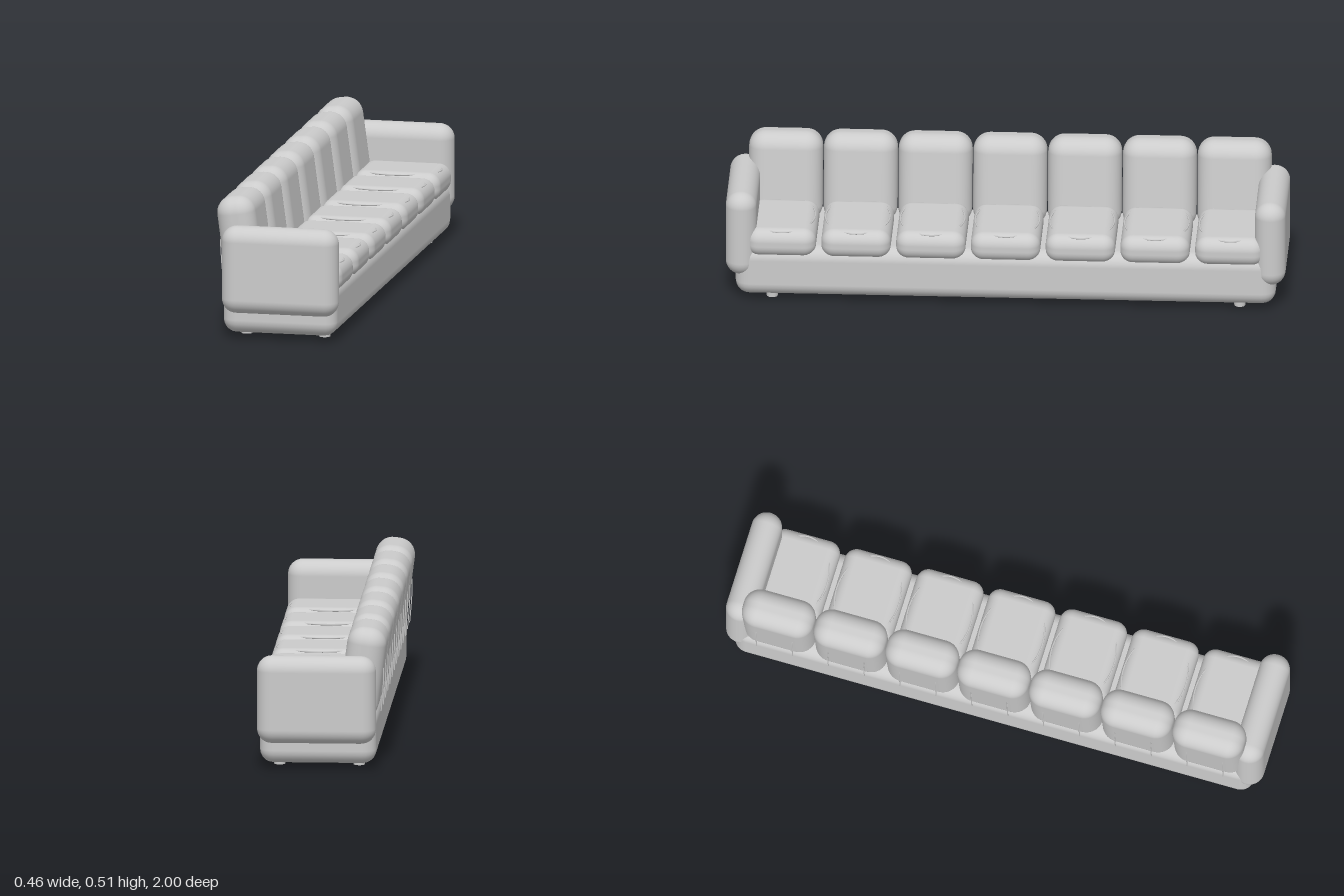
import * as THREE from 'three';
import { RoundedBoxGeometry } from 'three/addons/geometries/RoundedBoxGeometry.js';

const material = new THREE.MeshStandardMaterial({ color: 0xcccccc });

function add(parent, name, geometry, x, y, z) {
  const mesh = new THREE.Mesh(geometry, material);
  mesh.name = name;
  mesh.position.set(x, y, z);
  parent.add(mesh);
  return mesh;
}

export function createModel() {
  const sofa = new THREE.Group();
  sofa.name = 'sofa';

  // Upholstered base; the seat faces +x and its length runs along z
  add(sofa, 'base', new RoundedBoxGeometry(0.416, 0.19, 1.93, 3, 0.05), 0.011, 0.115, 0);

  // Arms and feet, mirrored at both ends
  const armGeometry = new RoundedBoxGeometry(0.425, 0.317, 0.11, 5, 0.054);
  const footGeometry = new THREE.CylinderGeometry(0.021, 0.02, 0.03, 20);
  for (const side of [-1, 1]) {
    add(sofa, 'arm', armGeometry, 0.0155, 0.2535, side * 0.945);
    for (const x of [-0.131, 0.153]) add(sofa, 'foot', footGeometry, x, 0.015, side * 0.835);
  }

  // Elliptical piping, partly sunk into the seat cushion
  const ring = [];
  for (let i = 0; i < 32; i++) {
    const a = (i / 32) * Math.PI * 2;
    ring.push(new THREE.Vector3(Math.cos(a) * 0.157, 0, Math.sin(a) * 0.115));
  }
  const pipingGeometry = new THREE.TubeGeometry(
    new THREE.CatmullRomCurve3(ring, true), 64, 0.003, 6, true);

  // Thin strap hanging down the rear of a back cushion
  const strapGeometry = new THREE.TubeGeometry(new THREE.CatmullRomCurve3([
    new THREE.Vector3(-0.211, 0.2, 0),
    new THREE.Vector3(-0.217, 0.27, 0),
    new THREE.Vector3(-0.22, 0.34, 0),
    new THREE.Vector3(-0.216, 0.38, 0),
  ]), 12, 0.002, 6);

  const seatGeometry = new RoundedBoxGeometry(0.32, 0.105, 0.248, 5, 0.045);
  const backGeometry = new RoundedBoxGeometry(0.14, 0.335, 0.264, 5, 0.06);

  // Seven seats in a row
  for (let i = -3; i <= 3; i++) {
    const unit = new THREE.Group();
    unit.name = 'seatUnit';
    unit.position.z = i * 0.267;
    add(unit, 'seatCushion', seatGeometry, 0.069, 0.2265, 0);
    add(unit, 'seatPiping', pipingGeometry, 0.056, 0.272, 0);
    add(unit, 'backCushion', backGeometry, -0.146, 0.34, 0).rotation.z = 0.132;
    for (const side of [-1, 1]) add(unit, 'backStrap', strapGeometry, 0, 0, side * 0.067);
    sofa.add(unit);
  }
  return sofa;
}
